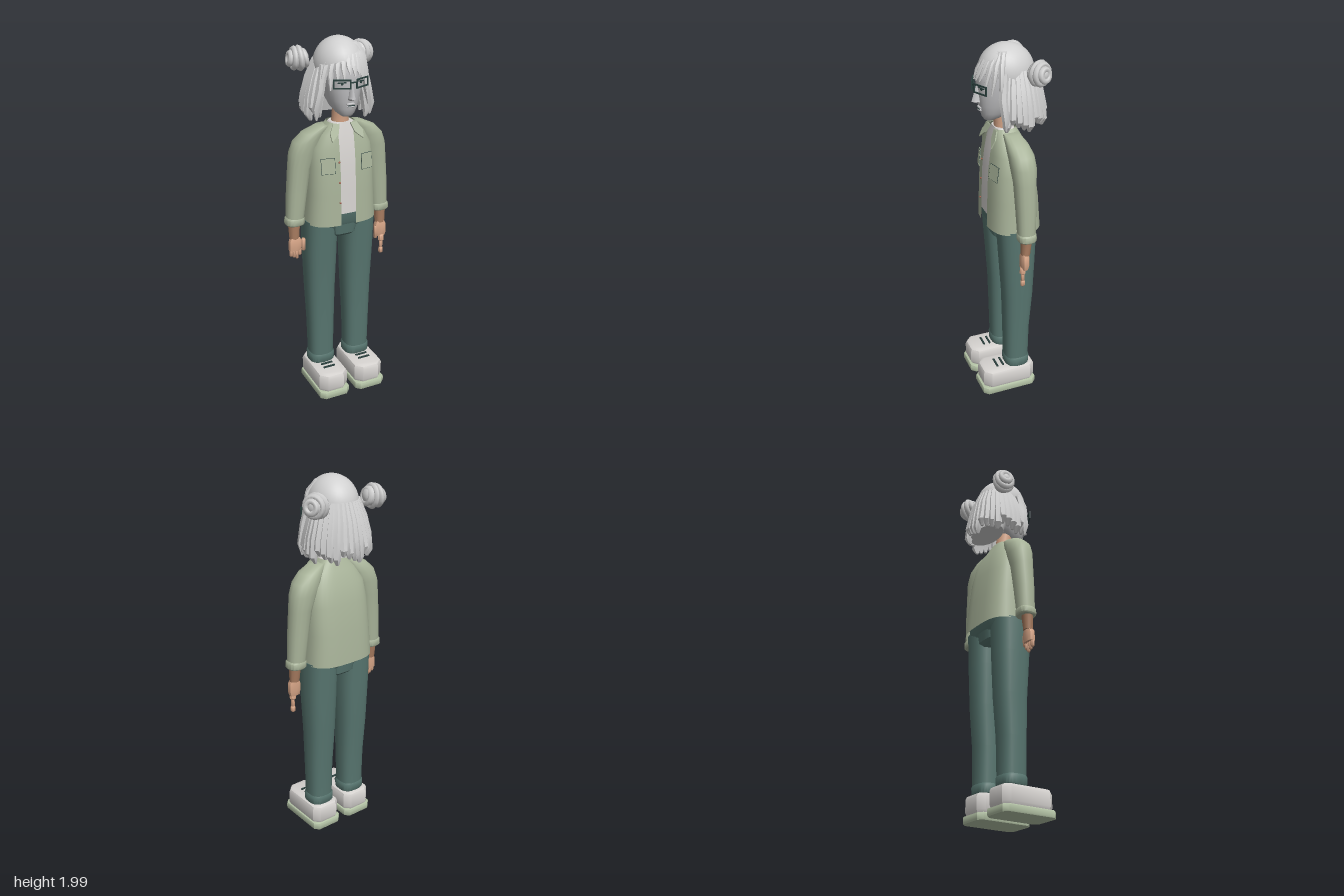
import * as THREE from 'three';
import { toCreasedNormals } from 'three/addons/utils/BufferGeometryUtils.js';

const mat = (name, color, side = THREE.FrontSide) => {
  const m = new THREE.MeshStandardMaterial({ color, side });
  m.name = name;
  return m;
};

// Loft of horizontal super-ellipse rings, bottom to top: [x, y, z, rx, rz].
// gap leaves an opening of that half width at the front.
function loft(sections, { n = 2, segs = 16, crease = 0.7, gap = 0 } = {}) {
  const pos = [], idx = [], row = segs + 1;
  const bend = (v, p) => Math.sign(v) * Math.pow(Math.abs(v), p);
  sections.forEach(([x, y, z, rx, rz]) => {
    const t0 = gap ? Math.asin(Math.pow(gap / rx, n / 2)) : 0;
    for (let j = 0; j < row; j++) {
      const t = t0 + (2 * Math.PI - 2 * t0) * (j === segs && !gap ? 0 : j / segs);
      pos.push(x + rx * bend(Math.sin(t), 2 / n), y, z + rz * bend(Math.cos(t), 2 / n));
    }
  });
  for (let i = 0; i < sections.length - 1; i++) {
    for (let j = 0; j < segs; j++) {
      const a = i * row + j, b = a + row;
      idx.push(a, a + 1, b + 1, a, b + 1, b);
    }
  }
  if (!gap) {
    [0, sections.length - 1].forEach((i) => {
      const c = pos.length / 3;
      pos.push(...sections[i].slice(0, 3));
      for (let j = 0; j < segs; j++) {
        const a = i * row + j;
        if (i) idx.push(c, a, a + 1); else idx.push(c, a + 1, a);
      }
    });
  }
  const g = new THREE.BufferGeometry();
  g.setAttribute('position', new THREE.Float32BufferAttribute(pos, 3));
  g.setIndex(idx);
  return toCreasedNormals(g, crease);
}

// Shoe outline with chamfered corners, extruded upwards
function footPrint(hw, back, front, cut, height, bevel) {
  const w = hw - bevel, f = front - bevel, b = back + bevel;
  const pts = [[-w, -b - 0.02], [-w + 0.02, -b], [w - 0.02, -b], [w, -b - 0.02],
    [w, -f + cut], [w - cut, -f], [-w + cut, -f], [-w, -f + cut]];
  const shape = new THREE.Shape(pts.map(([x, y]) => new THREE.Vector2(x, y)));
  const g = new THREE.ExtrudeGeometry(shape, { depth: height - 2 * bevel, bevelThickness: bevel, bevelSize: bevel, bevelSegments: 2 });
  g.translate(0, 0, bevel).rotateX(-Math.PI / 2);
  return toCreasedNormals(g, 0.6);
}

const plate = (pts, depth, holePts) => {
  const v = (p) => p.map(([x, y]) => new THREE.Vector2(x, y));
  const s = new THREE.Shape(v(pts));
  if (holePts) s.holes.push(new THREE.Path(v(holePts)));
  return new THREE.ExtrudeGeometry(s, { depth, bevelEnabled: false });
};
const rect = (w, h) => [[-w, -h], [w, -h], [w, h], [-w, h]];

export function createModel() {
  const root = new THREE.Group();
  const M = {
    hair: mat('pale grey hair', 0xd0d0d0),
    face: mat('grey face', 0xc0c0c2),
    white: mat('off white', 0xd6d3d0),
    jacket: mat('sage jacket', 0xa9b49a, THREE.DoubleSide),
    sole: mat('pale green sole', 0xb4c3a6),
    pants: mat('teal trousers', 0x57756f),
    skin: mat('skin', 0xd5a486),
    arm: mat('forearm brown', 0xa87c60),
    dark: mat('dark teal frame', 0x2b403e),
    button: mat('red button', 0xa8604f),
  };
  const add = (name, geo, m, p = [0, 0, 0], r = [0, 0, 0], parent = root) => {
    const mesh = new THREE.Mesh(geo, m);
    mesh.name = name;
    mesh.position.set(...p);
    mesh.rotation.set(...r);
    parent.add(mesh);
    return mesh;
  };

  // Torso: open jacket over shirt, trousers waist
  const torso = [[0, 1.03, -0.013, 0.197, 0.142], [0, 1.2, -0.01, 0.187, 0.134], [0, 1.35, -0.003, 0.18, 0.121],
    [0, 1.45, 0.002, 0.165, 0.103], [0, 1.52, 0.012, 0.125, 0.08], [0, 1.575, 0.02, 0.07, 0.06]];
  add('jacketBody', loft(torso, { n: 3, segs: 32, gap: 0.043, crease: 0.9 }), M.jacket);
  const shirt = torso.map(([x, y, z, rx, rz]) => [x, Math.max(y, 1.09), z, rx - 0.012, rz - 0.01]);
  add('shirt', loft(shirt, { n: 3, segs: 32 }), M.white);
  add('neck', loft([[0, 1.54, 0.02, 0.05, 0.045], [0, 1.6, 0.02, 0.043, 0.045], [0, 1.67, 0.03, 0.043, 0.045]]), M.skin);
  add('waist', loft([[0, 1.0, -0.012, 0.17, 0.1], [0, 1.035, -0.012, 0.18, 0.12], [0, 1.1, -0.012, 0.178, 0.128]], { n: 3, segs: 24 }), M.pants);
  add('crotch', loft([[0, 0.94, -0.01, 0.068, 0.075], [0, 0.96, -0.01, 0.077, 0.1], [0, 1.06, -0.01, 0.09, 0.115]], { n: 4, segs: 24 }), M.pants);
  [1.38, 1.27, 1.16].forEach((y) => add('button', new THREE.SphereGeometry(0.005, 8, 6), M.button, [-0.05, y, 0.122 + (1.3 - y) * 0.06]));

  for (const s of [1, -1]) {
    const side = s > 0 ? 'left' : 'right';
    // Collar flap and chest pocket
    const flap = [[0.03, 0.045], [0.045, -0.005], [0.088, -0.045], [0.092, 0.0], [0.066, 0.045]].map(([x, y]) => [x * s, y]);
    add(side + 'Collar', plate(flap, 0.007), M.jacket, [0, 1.53, 0.092], [-0.45, 0, 0]);
    const pocket = new THREE.Group();
    pocket.name = side + 'Pocket';
    pocket.position.set(0.109 * s, 1.365, 0.107);
    pocket.rotation.set(-0.13, 0.27 * s, 0);
    root.add(pocket);
    add('pocketSeam', plate(rect(0.037, 0.042), 0.002, rect(0.034, 0.039)), M.dark, [0, 0, 0.003], [0, 0, 0], pocket);
    add('pocketPanel', plate(rect(0.035, 0.04), 0.006), M.jacket, [0, 0, 0], [0, 0, 0], pocket);

    // Sleeve, cuff and forearm
    add(side + 'Sleeve', loft([[0.25 * s, 1.05, -0.013, 0.047, 0.046], [0.237 * s, 1.2, -0.013, 0.054, 0.052],
      [0.22 * s, 1.34, -0.013, 0.06, 0.057], [0.2 * s, 1.42, -0.012, 0.072, 0.064], [0.175 * s, 1.48, -0.008, 0.075, 0.064],
      [0.14 * s, 1.525, 0, 0.064, 0.056], [0.09 * s, 1.56, 0.01, 0.04, 0.042]], { n: 2.4, segs: 16, crease: 0.9 }), M.jacket);
    add(side + 'Cuff', loft([[0.252 * s, 1.025, -0.013, 0.048, 0.045], [0.252 * s, 1.032, -0.013, 0.053, 0.05],
      [0.251 * s, 1.06, -0.013, 0.052, 0.05], [0.25 * s, 1.068, -0.013, 0.046, 0.045]], { n: 2.5 }), M.jacket);
    add(side + 'Forearm', loft([[0.258 * s, 0.945, -0.005, 0.028, 0.024], [0.257 * s, 1.04, -0.01, 0.034, 0.03]], { segs: 12 }), M.arm);

    // Trouser leg with turned cuff
    const x = 0.11 * s;
    add(side + 'Leg', loft([[x, 0.17, -0.012, 0.068, 0.067], [x, 0.4, -0.012, 0.073, 0.071], [x, 0.62, -0.018, 0.08, 0.083],
      [x, 0.85, -0.015, 0.088, 0.095], [x, 1.04, -0.012, 0.09, 0.105]], { n: 2.7, segs: 24 }), M.pants);
    add(side + 'LegCuff', loft([[x, 0.145, -0.012, 0.066, 0.062], [x, 0.155, -0.012, 0.074, 0.07], [x, 0.195, -0.012, 0.075, 0.072],
      [x, 0.207, -0.012, 0.068, 0.066]], { n: 2.7, segs: 24 }), M.pants);

    // Shoe
    add(side + 'Sole', footPrint(0.09, -0.11, 0.208, 0.02, 0.042, 0.008), M.sole, [x, 0.008, 0]);
    add(side + 'Upper', footPrint(0.086, -0.105, 0.2, 0.025, 0.11, 0.022), M.white, [x, 0.043, 0]);
    [0.075, 0.11].forEach((z) => add('lace', new THREE.BoxGeometry(0.07, 0.009, 0.01), M.dark, [x, 0.155, z]));
  }

  // Hands: the left points down, the right is loosely curled
  const finger = (name, x, y0, y1, z, r) => add(name, loft([[x, y0, z, r * 0.6, r * 0.6], [x, y0 + 0.006, z, r, r],
    [x, y1 - 0.006, z, r, r], [x, y1, z, r * 0.7, r * 0.7]], { segs: 8 }), M.skin);
  add('leftHand', loft([[0.26, 0.86, 0, 0.026, 0.016], [0.258, 0.885, 0, 0.035, 0.021], [0.258, 0.93, 0, 0.034, 0.021],
    [0.258, 0.952, -0.002, 0.024, 0.018]], { n: 3, segs: 12 }), M.skin);
  finger('leftThumb', 0.228, 0.85, 0.925, 0.006, 0.01);
  [[0.83, 0.87, 0.017], [0.785, 0.835, 0.01], [0.755, 0.79, 0.013]].forEach(([a, b, r]) => finger('leftFinger', 0.261, a, b, 0.01, r));
  add('rightHand', loft([[-0.26, 0.878, 0, 0.033, 0.02], [-0.258, 0.9, 0, 0.036, 0.022], [-0.256, 0.935, 0, 0.034, 0.021],
    [-0.256, 0.953, -0.002, 0.024, 0.018]], { n: 3, segs: 12 }), M.skin);
  [-0.283, -0.266, -0.249, -0.232].forEach((x, i) => finger('rightFinger', x, 0.845 - (i % 3) * 0.009, 0.89, 0.004, 0.01));
  finger('rightThumb', -0.212, 0.87, 0.94, 0.008, 0.012);

  // Head and facial features
  add('head', loft([[0, 1.618, 0.095, 0.028, 0.022], [0, 1.632, 0.078, 0.045, 0.05], [0, 1.66, 0.052, 0.064, 0.085],
    [0, 1.7, 0.038, 0.08, 0.108], [0, 1.75, 0.03, 0.09, 0.12], [0, 1.8, 0.024, 0.097, 0.13], [0, 1.86, 0.02, 0.1, 0.134],
    [0, 1.92, 0.015, 0.09, 0.11], [0, 1.96, 0.01, 0.06, 0.07]], { n: 2.3, segs: 28, crease: 1.2 }), M.face);
  add('nose', loft([[0, 1.708, 0.142, 0.014, 0.014], [0, 1.72, 0.152, 0.019, 0.033], [0, 1.732, 0.152, 0.014, 0.029],
    [0, 1.8, 0.148, 0.008, 0.012]], { segs: 12 }), M.face);
  [[1.688, 0.025], [1.674, 0.021]].forEach(([y, w]) => {
    const lip = add('lip', new THREE.SphereGeometry(1, 12, 8), M.face, [0, y, 0.14]);
    lip.scale.set(w, 0.007, 0.013);
  });
  add('mouthLine', new THREE.BoxGeometry(0.036, 0.003, 0.006), M.dark, [0, 1.681, 0.15]);
  add('glassesBridge', new THREE.BoxGeometry(0.03, 0.006, 0.006), M.dark, [0, 1.803, 0.171]);
  for (const s of [1, -1]) {
    const eye = new THREE.Group();
    eye.name = s > 0 ? 'leftEye' : 'rightEye';
    eye.position.set(0.054 * s, 1.796, 0.156);
    eye.rotation.y = 0.42 * s;
    root.add(eye);
    add('glassesFrame', plate(rect(0.045, 0.024), 0.006, rect(0.038, 0.017)), M.dark, [0, 0, 0], [0, 0, 0], eye);
    add('eyelid', new THREE.BoxGeometry(0.044, 0.005, 0.004), M.dark, [0, 0.006, -0.005], [0, 0, -0.08 * s], eye);
    add('iris', new THREE.CylinderGeometry(0.007, 0.007, 0.004, 12), M.dark, [0, 0, -0.006], [Math.PI / 2, 0, 0], eye);
  }

  // Hair: cap, inner mass, hanging strands, fringe and buns
  const hair = new THREE.Group();
  hair.name = 'hair';
  root.add(hair);
  const cap = new THREE.SphereGeometry(1, 28, 12, 0, Math.PI * 2, 0, Math.PI * 0.52).scale(0.128, 0.141, 0.145);
  const capMesh = add('hairCap', cap, M.hair, [0, 1.86, 0.002], [-0.36, 0, 0], hair);
  capMesh.material = M.hair;
  add('hairMass', loft([[0, 1.62, -0.095, 0.125, 0.075], [0, 1.72, -0.075, 0.13, 0.085], [0, 1.82, -0.06, 0.125, 0.09],
    [0, 1.9, -0.045, 0.1, 0.08]], { segs: 20 }), M.hair, [0, 0, 0], [0, 0, 0], hair);
  const strands = 23;
  for (let i = 0; i < strands; i++) {
    const t = 0.95 + (2 * Math.PI - 1.9) * i / (strands - 1);
    const dx = Math.sin(t), dz = Math.cos(t), low = 1.585 + 0.014 * ((i * 7) % 4);
    const at = (y, rx, rz, r) => [dx * rx, y, -0.035 + dz * rz, r, r];
    add('strand', loft([at(low, 0.158, 0.145, 0.008), at(low + 0.035, 0.17, 0.148, 0.023), at(1.71, 0.16, 0.135, 0.026),
      at(1.8, 0.135, 0.118, 0.025), at(1.885, 0.105, 0.09, 0.018)], { segs: 7, crease: 0.6 }), M.hair, [0, 0, 0], [0, 0, 0], hair);
  }
  for (let i = 0; i < 10; i++) {
    const u = -1 + 2 * i / 9, q = u * u;
    add('fringe', loft([[0.125 * u, 1.845 - 0.12 * q - 0.012 * (i % 2), 0.165 - 0.085 * q, 0.004, 0.004],
      [0.116 * u + 0.002, 1.88 - 0.06 * q, 0.145 - 0.075 * q, 0.018, 0.013],
      [0.09 * u + 0.008, 1.93 - 0.015 * q, 0.112 - 0.05 * q, 0.022, 0.018],
      [0.05 * u + 0.015, 1.975, 0.06 - 0.02 * q, 0.016, 0.016]], { segs: 7, crease: 0.6 }), M.hair, [0, 0, 0], [0, 0, 0], hair);
  }
  for (const s of [1, -1]) {
    add('sideLock', loft([[0.15 * s, 1.6, 0.06, 0.005, 0.005], [0.15 * s, 1.66, 0.062, 0.024, 0.02], [0.128 * s, 1.76, 0.066, 0.022, 0.024],
      [0.108 * s, 1.88, 0.05, 0.018, 0.02]], { segs: 7 }), M.hair, [0, 0, 0], [0, 0, 0], hair);
    const bun = new THREE.Group();
    bun.name = s > 0 ? 'leftBun' : 'rightBun';
    bun.position.set(0.175 * s, 1.885, -0.1);
    bun.rotation.y = s * (Math.PI / 2 + 0.3);
    hair.add(bun);
    add('bunCore', new THREE.SphereGeometry(0.054, 12, 10), M.hair, [0, 0, 0], [0, 0, 0], bun);
    [[-0.03, 0.036], [-0.005, 0.051], [0.022, 0.047], [0.042, 0.028]].forEach(([z, r], i) =>
      add('bunCoil', new THREE.TorusGeometry(r, 0.016, 6, 18), M.hair, [0, 0, z], [0.2 - i * 0.12, 0.15, 0], bun));
  }
  return root;
}
